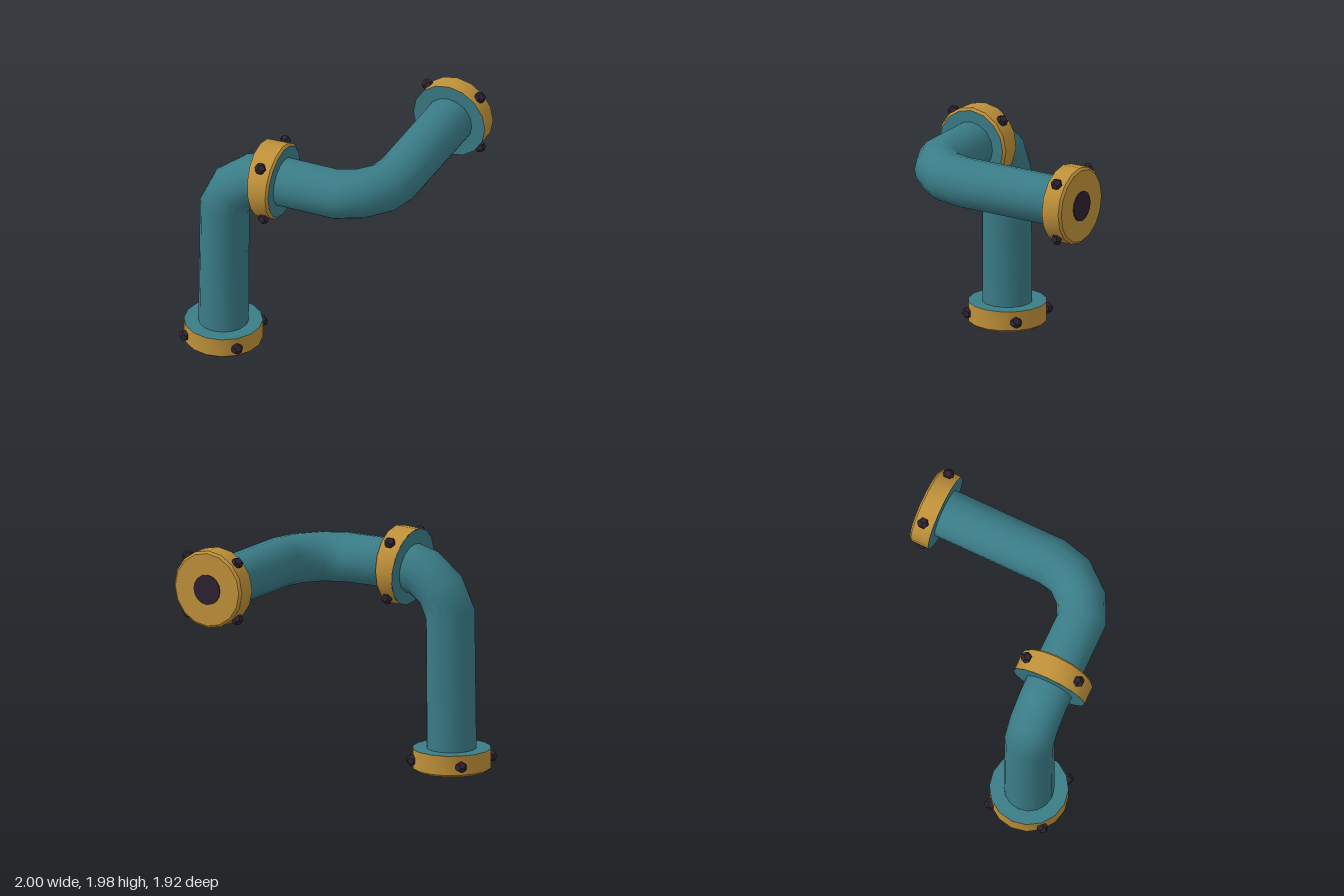
import * as THREE from 'three';
import { toCreasedNormals } from 'three/addons/utils/BufferGeometryUtils.js';

const SIDES = 16;
const V = (x, y, z) => new THREE.Vector3(x, y, z);

// Loft round cross-sections; each ring has a centre p, axis t and radius r
function loft(rings) {
  const pos = [], index = [];
  const q = new THREE.Quaternion(), step = new THREE.Quaternion();
  let last = V(0, 1, 0);
  rings.forEach(({ p, t, r }, i) => {
    q.premultiply(step.setFromUnitVectors(last, t));
    last = t;
    for (let j = 0; j < SIDES; j++) {
      const a = (j / SIDES) * Math.PI * 2;
      pos.push(...V(r * Math.cos(a), 0, -r * Math.sin(a)).applyQuaternion(q).add(p).toArray());
      if (i === 0) continue;
      const k = (j + 1) % SIDES, lo = (i - 1) * SIDES, hi = i * SIDES;
      index.push(lo + j, lo + k, hi + j, lo + k, hi + k, hi + j);
    }
  });
  const g = new THREE.BufferGeometry();
  g.setAttribute('position', new THREE.Float32BufferAttribute(pos, 3));
  g.setIndex(index);
  g.computeVertexNormals();
  return g;
}

export function createModel() {
  const model = new THREE.Group();
  model.name = 'bentPipe';
  const material = (name, color) => {
    const m = new THREE.MeshStandardMaterial({ color });
    m.name = name;
    return m;
  };
  const teal = material('teal', 0x3a7c87);
  const brass = material('brass', 0xbf9139);
  const dark = material('dark', 0x2c2230);

  const add = (parent, name, geometry, mat) => {
    const mesh = new THREE.Mesh(geometry, mat);
    mesh.name = name;
    parent.add(mesh);
    return mesh;
  };
  const disc = (parent, name, p, n, r, mat) => {
    const m = add(parent, name, new THREE.CircleGeometry(r, SIDES), mat);
    m.position.copy(p);
    m.quaternion.setFromUnitVectors(V(0, 0, 1), n);
  };

  // Pipe: upright, elbow, crosspiece, elbow, run to the back
  const path = [
    V(-0.68, 0.05, 0.635), V(-0.667, 1.3, 0.635), V(-0.58, 1.485, 0.635),
    V(-0.42, 1.61, 0.635), V(-0.24, 1.655, 0.635), V(0.325, 1.655, 0.62),
    V(0.5, 1.655, 0.53), V(0.63, 1.655, 0.375), V(0.675, 1.655, 0.185), V(0.675, 1.655, -0.9),
  ];
  const dir = (a, b) => b.clone().sub(a).normalize();
  const last = path.length - 1;
  add(model, 'pipe', loft(path.map((p, i) => {
    const t = V(0, 0, 0);
    if (i > 0) t.add(dir(path[i - 1], p));
    if (i < last) t.add(dir(p, path[i + 1]));
    return { p, t: t.normalize(), r: 0.205 };
  })), teal);

  // Flange from a to b, chamfered at b, with four bolts round the rim
  function flange(name, a, ta, b, tb, outlet) {
    const g = new THREE.Group();
    g.name = name;
    model.add(g);
    const shoulder = b.clone().addScaledVector(tb, -0.018);
    add(g, 'rim', toCreasedNormals(loft([
      { p: a, t: ta, r: 0.322 },
      { p: shoulder, t: tb, r: 0.322 },
      { p: b, t: tb, r: 0.302 },
    ]), 0.5), brass);
    disc(g, 'innerFace', a, ta.clone().negate(), 0.322, teal);
    disc(g, 'outerFace', b, tb, 0.302, outlet ? brass : teal);
    if (outlet) {
      const end = b.clone().addScaledVector(tb, 0.008);
      add(g, 'boreEdge', loft([{ p: b, t: tb, r: 0.125 }, { p: end, t: tb, r: 0.125 }]), dark);
      disc(g, 'bore', end, tb, 0.125, dark);
    }
    const mid = a.clone().lerp(b, 0.5);
    const q = new THREE.Quaternion().setFromUnitVectors(V(0, 1, 0), ta.clone().add(tb).normalize());
    for (let i = 0; i < 4; i++) {
      const angle = Math.PI / 4 + (i * Math.PI) / 2;
      const bolt = add(g, 'bolt', new THREE.DodecahedronGeometry(0.049), dark);
      bolt.position.set(0.332 * Math.cos(angle), 0, 0.332 * Math.sin(angle)).applyQuaternion(q).add(mid);
      bolt.quaternion.copy(q).multiply(new THREE.Quaternion().setFromAxisAngle(V(0, 1, 0), -angle));
    }
  }

  const down = V(0, -1, 0), back = V(0, 0, -1), side = V(1, 0, 0);
  flange('baseFlange', V(-0.68, 0.187, 0.635), down, V(-0.68, 0.008, 0.635), down, true);
  flange('middleFlange', V(-0.308, 1.647, 0.635), V(0.993, 0.118, 0).normalize(), V(-0.135, 1.655, 0.632), side, false);
  flange('backFlange', V(0.675, 1.655, -0.778), back, V(0.675, 1.655, -0.953), back, true);

  return model;
}
